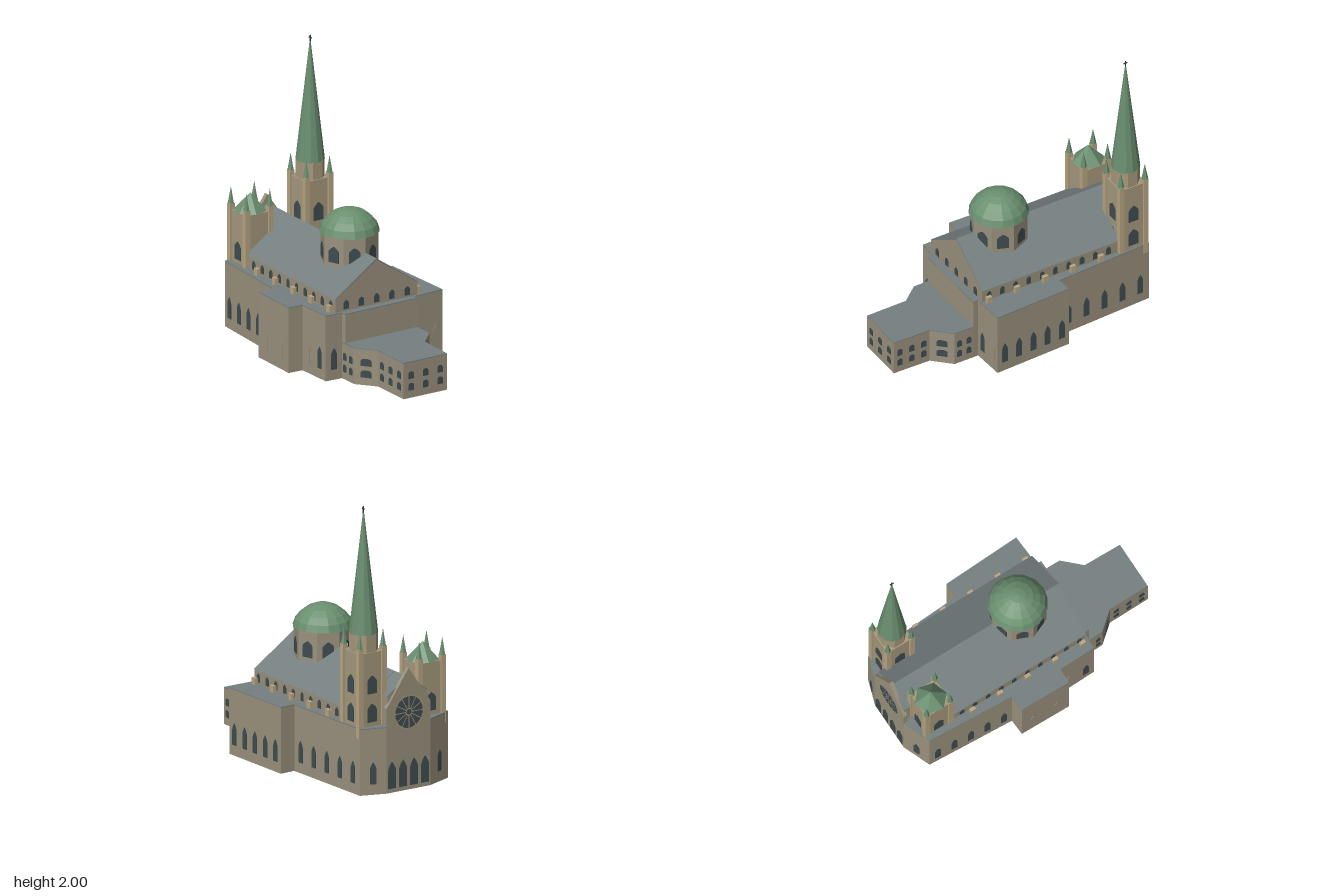
import * as THREE from 'three';

const flat = (name, color) => {
  const m = new THREE.MeshStandardMaterial({ color });
  m.name = name;
  m.flatShading = true;
  return m;
};

export function createModel() {
  const wall = flat('wall stone', 0x9a917d);
  const stone = flat('tower stone', 0xa6987c);
  const trim = flat('pale trim stone', 0xb8a684);
  const slate = flat('slate roof', 0x757f80);
  const copper = flat('green copper', 0x6a8f70);
  const glass = flat('dark glass', 0x3f4c50);
  const iron = flat('dark iron', 0x33383a);

  const model = new THREE.Group();
  model.name = 'cathedral';
  // Everything aligned to the nave lives in this turned group: x along the ridge, z to the south
  const nave = new THREE.Group();
  nave.name = 'naveGroup';
  nave.position.set(0.35, 0, 0.243);
  nave.rotation.y = -0.4835;
  model.add(nave);

  const add = (parent, name, geo, mat, x = 0, y = 0, z = 0, ry = 0) => {
    const m = new THREE.Mesh(geo, mat);
    m.name = name;
    m.position.set(x, y, z);
    m.rotation.y = ry;
    parent.add(m);
    return m;
  };
  const box = (parent, name, mat, w, h, d, x, y0, z) =>
    add(parent, name, new THREE.BoxGeometry(w, h, d), mat, x, y0 + h / 2, z);
  const cone = (parent, name, mat, rTop, rBottom, h, sides, x, y0, z, ry = 0) =>
    add(parent, name, new THREE.CylinderGeometry(rTop, rBottom, h, sides), mat, x, y0 + h / 2, z, ry);

  // Flat-topped block over a ground plan of [x, z] corners
  const planBlock = (name, plan, y0, h, mat) => {
    const s = new THREE.Shape(plan.map(([x, z]) => new THREE.Vector2(x, -z)));
    const g = new THREE.ExtrudeGeometry(s, { depth: h, bevelEnabled: false }).rotateX(-Math.PI / 2);
    return add(model, name, g, mat, 0, y0, 0);
  };

  // Window pane with a pointed or a round head, standing on its sill
  const paneGeo = (w, h, round) => {
    const s = new THREE.Shape();
    s.moveTo(-w / 2, 0);
    s.lineTo(w / 2, 0);
    if (round) {
      s.lineTo(w / 2, h * 0.65);
      s.quadraticCurveTo(w / 2, h, 0, h);
      s.quadraticCurveTo(-w / 2, h, -w / 2, h * 0.65);
    } else {
      s.lineTo(w / 2, h * 0.7);
      s.quadraticCurveTo(w * 0.38, h * 0.85, 0, h);
      s.quadraticCurveTo(-w * 0.38, h * 0.85, -w / 2, h * 0.7);
    }
    return new THREE.ExtrudeGeometry(s, { depth: 0.004, bevelEnabled: false, curveSegments: 4 });
  };
  // Evenly spaced windows on the wall p to q (outside on the left of travel seen from above)
  const windows = (parent, p, q, n, y, w, h, { round = false, mats = [glass] } = {}) => {
    const dx = q[0] - p[0], dz = q[1] - p[1], len = Math.hypot(dx, dz);
    const nx = dz / len, nz = -dx / len, geo = paneGeo(w, h, round);
    for (let i = 0; i < n; i++) {
      const t = (i + 0.5) / n;
      add(parent, 'window', geo, mats[i % mats.length],
        p[0] + dx * t + nx * 0.001, y, p[1] + dz * t + nz * 0.001, Math.atan2(nx, nz));
    }
  };

  // Lower storey: aisles, transepts and west front
  const aisles = [[-0.64, -0.68], [0.026, -0.375], [0.075, -0.477], [0.60, -0.23], [0.50, -0.015],
    [0.535, 0], [0.265, 0.525], [0.23, 0.51], [0.165, 0.62], [-0.08, 0.50], [-0.135, 0.595],
    [-0.465, 0.415], [-0.415, 0.31], [-0.965, -0.02], [-0.942, -0.233], [-0.774, -0.551]];
  planBlock('lowerWalls', aisles, 0, 0.465, wall);
  planBlock('lowerRoof', aisles, 0.465, 0.006, slate);
  // [plan edge, number of windows, panes]
  const blind = [wall];
  [[0, 5], [2, 5], [3, 2, [wall, glass]], [7, 1], [8, 2, [glass, wall]], [10, 2, blind], [12, 5],
    [13, 1], [15, 1]].forEach(([e, n, mats = [glass]]) =>
    windows(model, aisles[e], aisles[(e + 1) % aisles.length], n, 0.075, 0.045, 0.155, { mats }));
  windows(model, aisles[14], aisles[15], 4, 0.03, 0.06, 0.19);

  // Low eastern annex with two rows of round-headed windows
  const annex = [[0.535, 0], [0.665, 0.07], [0.72, 0.235], [0.965, 0.37], [0.80, 0.68],
    [0.525, 0.54], [0.36, 0.575], [0.23, 0.51]];
  planBlock('annexWalls', annex, 0, 0.255, wall);
  planBlock('annexRoof', annex, 0.255, 0.006, slate);
  [[0, 2, 0.035], [1, 1, 0.075], [2, 3, 0.04], [3, 3, 0.042], [4, 3, 0.04], [5, 1, 0.075], [6, 2, 0.035]]
    .forEach(([e, n, w]) => [0.055, 0.138].forEach((y) =>
      windows(model, annex[e], annex[e + 1], n, y, w, 0.052, { round: true })));

  // Extrude a cross-section (z, y) along the nave from x0 for a length
  const alongNave = (name, pts, mat, x0, len) => {
    const s = new THREE.Shape(pts.map(([x, y]) => new THREE.Vector2(x, y)));
    const g = new THREE.ExtrudeGeometry(s, { depth: len, bevelEnabled: false });
    return add(nave, name, g, mat, x0, 0, 0, Math.PI / 2);
  };
  // Clerestory and pitched roof; the bay between the towers is narrower
  [[0.333, 0.57, -1.2, 1.2], [0.16, 0.684, -1.35, 0.2]].forEach(([v, e, x0, len]) => {
    alongNave('clerestory', [[-v, 0.46], [v, 0.46], [v, e - 0.003], [0, 0.79], [-v, e - 0.003]], wall, x0, len);
    alongNave('naveRoof', [[-v - 0.004, e - 0.004], [-v, e - 0.006], [0, 0.786], [v, e - 0.006],
      [v + 0.004, e - 0.004], [0, 0.798]], slate, x0, len + 0.001);
  });
  windows(nave, [0, 0.333], [-1.05, 0.333], 10, 0.485, 0.035, 0.062);
  windows(nave, [-1.05, -0.333], [0, -0.333], 10, 0.485, 0.035, 0.062);
  windows(nave, [0, -0.31], [0, 0.31], 5, 0.485, 0.042, 0.065);

  // Buttress stubs along both aisles
  for (const side of [-1, 1])
    for (let i = 0; i < 5; i++)
      box(nave, 'buttress', trim, 0.04, 0.052, 0.025, -0.925 + i * 0.2215, 0.468, side * 0.357);

  // West gable with its rose window
  alongNave('westGable', [[-0.18, 0.46], [0.18, 0.46], [0.18, 0.6], [0, 0.86], [-0.18, 0.6]], wall, -1.367, 0.03);
  const rose = new THREE.Group();
  rose.name = 'roseWindow';
  rose.position.set(-1.368, 0.55, 0);
  rose.rotation.y = -Math.PI / 2;
  nave.add(rose);
  add(rose, 'roseGlass', new THREE.CircleGeometry(0.115, 24), glass, 0, 0, 0.002);
  add(rose, 'roseRim', new THREE.RingGeometry(0.112, 0.122, 24), stone, 0, 0, 0.004);
  add(rose, 'roseHub', new THREE.RingGeometry(0.02, 0.028, 12), stone, 0, 0, 0.004);
  for (let i = 0; i < 6; i++) {
    const a = (i / 6) * Math.PI;
    for (const s of [-1, 1]) {
      const spoke = add(rose, 'roseSpoke', new THREE.PlaneGeometry(0.088, 0.006), stone,
        s * Math.cos(a) * 0.07, s * Math.sin(a) * 0.07, 0.004);
      spoke.rotation.z = a;
    }
  }

  // West towers: square shaft, corner posts and pinnacles
  const tower = (name, z, top, postTop, sills) => {
    const t = new THREE.Group();
    t.name = name;
    t.position.set(-1.187, 0, z);
    nave.add(t);
    const r = 0.1;
    box(t, 'towerShaft', stone, r * 2, top - 0.4, r * 2, 0, 0.4, 0);
    const c = [[-r, -r], [r, -r], [r, r], [-r, r]];
    c.forEach((p, i) => {
      const [x, pz] = [p[0] * 0.95, p[1] * 0.95];
      sills.forEach((y) => windows(t, p, c[(i + 1) % 4], 1, y, 0.075, 0.13));
      box(t, 'cornerPost', trim, 0.038, postTop - 0.4, 0.038, x, 0.4, pz);
      cone(t, 'pinnacle', copper, 0, 0.023, 0.122, 6, x, postTop, pz);
    });
    return t;
  };
  const tall = tower('spireTower', -0.247, 0.99, 1.025, [0.5, 0.7]);
  cone(tall, 'belfry', stone, 0.1, 0.1, 0.135, 8, 0, 0.98, 0, Math.PI / 8);
  cone(tall, 'spire', copper, 0.004, 0.1, 0.845, 12, 0, 1.112, 0);
  box(tall, 'crossPost', iron, 0.007, 0.05, 0.007, 0, 1.95, 0);
  box(tall, 'crossArm', iron, 0.03, 0.006, 0.007, 0, 1.98, 0);
  const short = tower('shortTower', 0.238, 0.84, 0.88, [0.5]);
  cone(short, 'towerCap', copper, 0, 0.115, 0.125, 6, 0, 0.84, 0, 0.3);

  // Octagonal drum and faceted dome over the crossing
  const dome = new THREE.Group();
  dome.name = 'crossingDome';
  dome.position.set(-0.333, 0, 0);
  nave.add(dome);
  cone(dome, 'drum', wall, 0.2, 0.2, 0.216, 8, 0, 0.69, 0);
  for (let i = 0; i < 8; i++) {
    const at = (k) => [0.2 * Math.cos(k * Math.PI / 4), 0.2 * Math.sin(k * Math.PI / 4)];
    windows(dome, at(i), at(i + 1), 1, 0.722, 0.08, 0.115);
  }
  const profile = [[0, 0], [0.207, 0], [0.19, 0.05], [0.155, 0.093], [0.108, 0.13], [0.055, 0.152], [0, 0.16]];
  add(dome, 'domeShell', new THREE.LatheGeometry(profile.map((p) => new THREE.Vector2(...p)), 16), copper, 0, 0.905, 0);

  return model;
}
